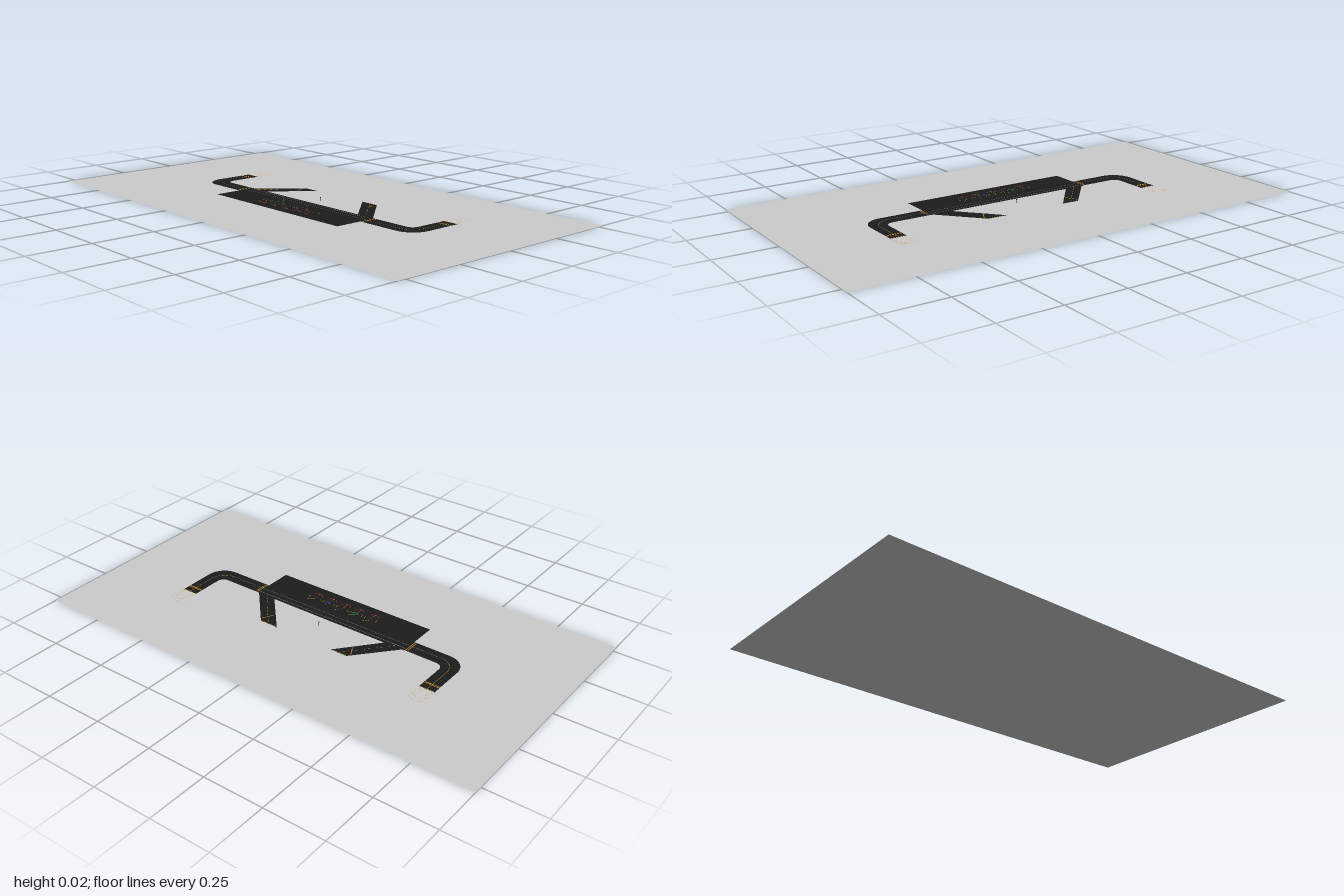
import * as THREE from 'three';

const material = (color) => new THREE.MeshStandardMaterial({ color, side: THREE.DoubleSide });
const mats = {
  ground: material(0xcccccc), tarmac: material(0x1c1c1c), orange: material(0xe09a20),
  red: material(0xc8401c), white: material(0x8c8c8c), green: material(0x1f7a35),
  blue: material(0x24408c), body: material(0x20222c),
};

function add(parent, name, geometry, mat, x = 0, y = 0, z = 0) {
  const mesh = new THREE.Mesh(geometry, mat);
  mesh.name = name;
  mesh.position.set(x, y, z);
  parent.add(mesh);
  return mesh;
}

// Flat sheet from an outline drawn in x and -z
function sheet(parent, name, shape, mat, y) {
  return add(parent, name, new THREE.ShapeGeometry(shape, 10).rotateX(-Math.PI / 2), mat, 0, y);
}

const outline = (pts) => new THREE.Shape(pts.map(([x, z]) => new THREE.Vector2(x, -z)));

// Painted strip between two ground points
function stripe(parent, name, a, b, width, mat, y = 0.0016) {
  const dx = b[0] - a[0], dz = b[1] - a[1];
  const geo = new THREE.PlaneGeometry(Math.hypot(dx, dz), width).rotateX(-Math.PI / 2);
  const mesh = add(parent, name, geo, mat, (a[0] + b[0]) / 2, y, (a[1] + b[1]) / 2);
  mesh.rotation.y = -Math.atan2(dz, dx);
  return mesh;
}

function dashes(parent, name, a, b, count, width, mat) {
  const at = (t) => [a[0] + (b[0] - a[0]) * t, a[1] + (b[1] - a[1]) * t];
  for (let i = 0; i < count; i++) stripe(parent, name, at(i / count), at((i + 0.55) / count), width, mat);
}

// Quarter-circle painted line
function arcLine(parent, name, cx, cz, r, start, mat) {
  const geo = new THREE.RingGeometry(r - 0.0007, r + 0.0007, 12, 1, start, Math.PI / 2).rotateX(-Math.PI / 2);
  add(parent, name, geo, mat, cx, 0.0016, cz);
}

// Small airliner with its nose toward -x
function airliner(name, accent) {
  const g = new THREE.Group();
  g.name = name;
  const profile = [[0, -0.025], [0.0012, -0.023], [0.0022, -0.018], [0.0022, 0.012], [0.0005, 0.025]]
    .map(([r, h]) => new THREE.Vector2(r, h));
  add(g, 'fuselage', new THREE.LatheGeometry(profile, 10).rotateZ(-Math.PI / 2), mats.body, 0, 0.008);
  for (const s of [-1, 1]) {
    const wing = outline([[-0.006, 0], [0.007, s * 0.017], [0.010, s * 0.017], [0.005, 0]]);
    sheet(g, 'wing', wing, accent, 0.0075);
    const stabilizer = outline([[0.018, 0], [0.023, s * 0.006], [0.025, s * 0.006], [0.024, 0]]);
    sheet(g, 'stabilizer', stabilizer, accent, 0.009);
    add(g, 'engine', new THREE.CylinderGeometry(0.001, 0.001, 0.005, 8).rotateZ(Math.PI / 2),
      mats.body, -0.001, 0.006, s * 0.006);
  }
  const fin = new THREE.Shape([[0.016, 0.009], [0.023, 0.018], [0.026, 0.018], [0.024, 0.009]]
    .map(([x, y]) => new THREE.Vector2(x, y)));
  add(g, 'tailFin', new THREE.ShapeGeometry(fin), accent);
  return g;
}

export function createModel() {
  const model = new THREE.Group();
  model.name = 'airfieldApron';
  add(model, 'ground', new THREE.PlaneGeometry(1.065, 2).rotateX(-Math.PI / 2), mats.ground);

  // Apron and the long taxiway with rounded ends
  sheet(model, 'apron', outline([[-0.207, -0.357], [-0.02, -0.357], [-0.02, 0.374], [-0.207, 0.374]]), mats.tarmac, 0.0008);
  const n = 0.6, f = -0.64, L = -0.093, R = -0.022, E = 0.145;
  const path = new THREE.Shape();
  path.moveTo(E, n);
  path.lineTo(-0.013, n);
  path.absarc(-0.013, n - 0.08, 0.08, Math.PI / 2, Math.PI, false);
  path.lineTo(L, f + 0.08);
  path.absarc(-0.013, f + 0.08, 0.08, Math.PI, Math.PI * 1.5, false);
  path.lineTo(E, f);
  path.lineTo(E, f + 0.067);
  path.lineTo(R + 0.035, f + 0.067);
  path.quadraticCurveTo(R, f + 0.067, R, f + 0.102);
  path.lineTo(R, n - 0.102);
  path.quadraticCurveTo(R, n - 0.067, R + 0.035, n - 0.067);
  path.lineTo(E, n - 0.067);
  sheet(model, 'taxiway', path, mats.tarmac, 0.001);

  // Taxiway edge and centre paint
  stripe(model, 'edgeLine', [-0.06, -0.51], [-0.06, 0.55], 0.0014, mats.white);
  stripe(model, 'edgeLine', [-0.034, -0.355], [-0.034, 0.372], 0.002, mats.white);

  // Mirrored exits, hold bars and end paint about z = 0.02 (s = -1 is the back end)
  for (const s of [-1, 1]) {
    const z = (d) => 0.02 + s * d;
    const a = z(s < 0 ? 0.372 : 0.352);
    const exit = outline([[-0.025, a], [E, z(0.223) - (s > 0 ? 0.023 : 0)],
      [E, z(s < 0 ? 0.148 : 0.118)], [-0.025, z(s < 0 ? 0.29 : 0.27)]]);
    sheet(model, 'angledExit', exit, mats.tarmac, 0.0012);

    const off = s > 0 ? 0.022 : 0;
    dashes(model, 'exitCentreLine', [-0.03, z(0.335 - off)], [0.14, z(0.188 - off)], 9, 0.0014, mats.orange);
    stripe(model, 'exitHoldBar', [0.083, z(0.208 - off)], [0.128, z(0.232 - off)], 0.003, mats.orange);
    stripe(model, 'exitEndLine', [0.143, z(0.222 - off)], [0.143, z(0.15 - off)], 0.002, mats.orange);

    const bar = s < 0 ? -0.362 : 0.38;
    for (const d of [0, 0.008]) stripe(model, 'apronHoldBar', [-0.091, bar + s * d], [-0.026, bar + s * d], 0.003, mats.orange);
    arcLine(model, 'curveLine', 0.007, z(0.52), 0.067, s < 0 ? Math.PI / 2 : Math.PI, mats.orange);
    stripe(model, 'endCentreLine', [0.007, z(0.587)], [0.145, z(0.587)], 0.0014, mats.orange);
    for (const x of [0.106, 0.112]) stripe(model, 'endHoldBar', [x, z(0.555)], [x, z(0.62)], 0.003, mats.orange);
    stripe(model, 'endLine', [0.144, z(0.555)], [0.144, z(0.62)], 0.002, mats.orange);

    // Dashed chevrons on the ground past each end
    for (let i = 0; i < 4; i++) {
      const x = 0.15 + i * 0.021;
      for (const t of [-1, 1]) dashes(model, 'chevron', [x, z(0.587 + t * 0.037)], [x + 0.02, z(0.587 + t * 0.004)], 4, 0.002, mats.orange);
    }
  }

  // Five parking stands with lead-in paint
  for (let i = 0; i < 5; i++) {
    const zc = -0.125 + i * 0.07;
    dashes(model, 'standLeadIn', [-0.162, zc], [-0.118, zc], 5, 0.0018, mats.orange);
    dashes(model, 'standTurn', [-0.118, zc], [-0.1, zc + 0.025], 3, 0.0018, mats.orange);
    stripe(model, 'standStop', [-0.164, zc - 0.009], [-0.164, zc + 0.009], 0.003, mats.red);
    for (const s of [-1, 1]) {
      stripe(model, 'standCorner', [-0.164, zc + s * 0.012], [-0.15, zc + s * 0.022], 0.002, mats.red);
      stripe(model, 'standSideLine', [-0.135, zc + s * 0.028], [-0.12, zc + s * 0.028], 0.002, mats.orange);
    }
  }

  // Parked aircraft
  for (const [z, accent] of [[-0.055, mats.green], [0.085, mats.blue]]) {
    const plane = airliner('airliner', accent);
    plane.position.set(-0.126, 0, z);
    model.add(plane);
  }

  // Slim mast beside the taxiway
  add(model, 'mast', new THREE.CylinderGeometry(0.0012, 0.0015, 0.014, 8), mats.tarmac, 0.031, 0.007, 0.015);
  add(model, 'mastHead', new THREE.CylinderGeometry(0.0025, 0.0018, 0.003, 8), mats.tarmac, 0.031, 0.0145, 0.015);
  return model;
}
